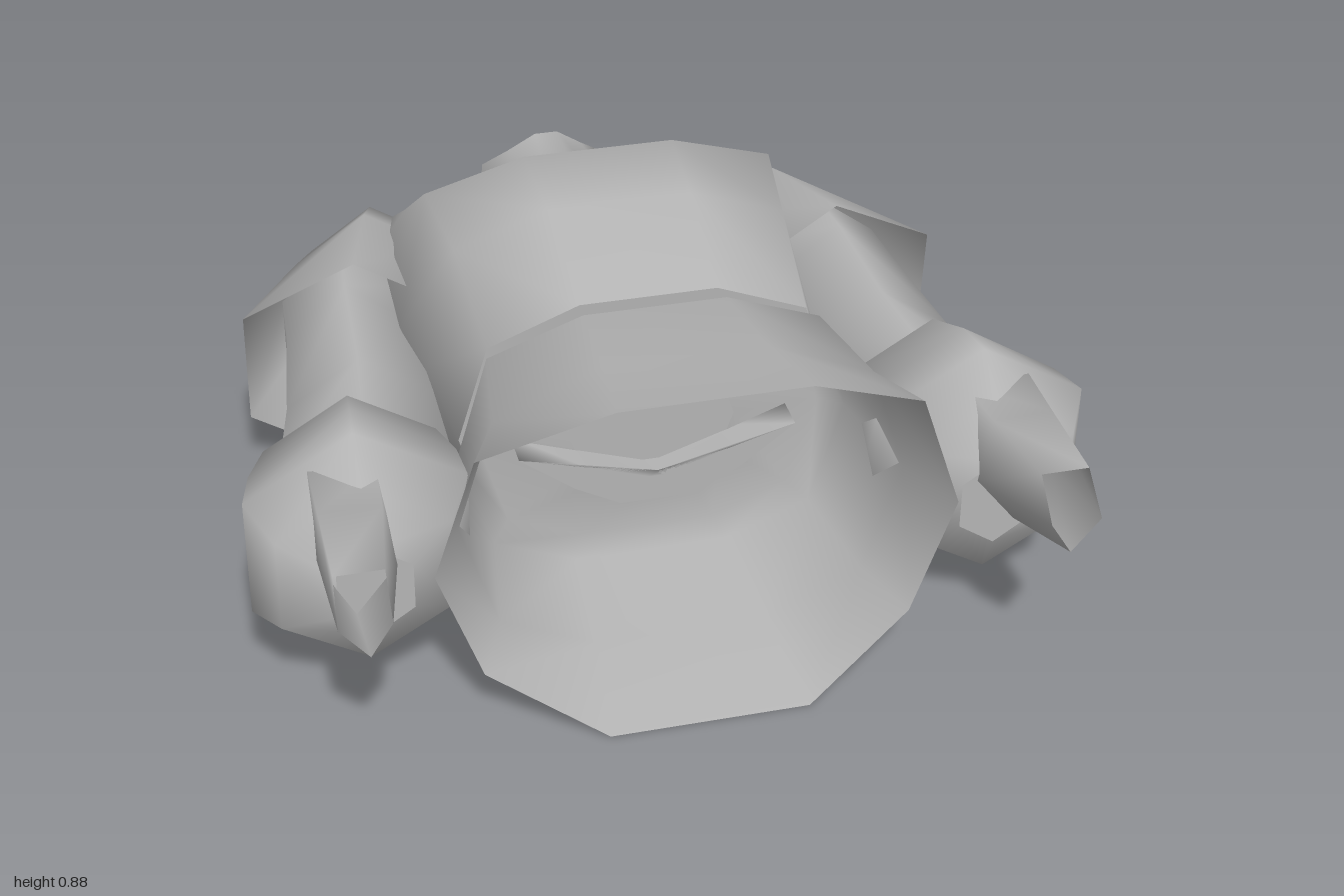
import * as THREE from 'three';

const grey = new THREE.MeshStandardMaterial({ color: 0xb4b4b4, side: THREE.DoubleSide });
grey.name = 'plain grey';

// Smooth skin through rings of [x, y, z] points, with optional flat ends
function loft(name, rings, capStart = false, capEnd = false) {
  const n = rings[0].length, pos = rings.flat(2), idx = [];
  for (let i = 0; i < rings.length - 1; i++) {
    for (let j = 0; j < n; j++) {
      const a = i * n + j, b = i * n + (j + 1) % n;
      idx.push(a, b, a + n, b, b + n, a + n);
    }
  }
  const cap = (ring, flip) => {
    const base = pos.length / 3;
    pos.push(...ring.flat());
    pos.push(...[0, 1, 2].map(k => ring.reduce((s, p) => s + p[k], 0) / n));
    for (let j = 0; j < n; j++) {
      const a = base + j, b = base + (j + 1) % n;
      idx.push(base + n, flip ? b : a, flip ? a : b);
    }
  };
  if (capStart) cap(rings[0], true);
  if (capEnd) cap(rings[rings.length - 1], false);
  const g = new THREE.BufferGeometry();
  g.setAttribute('position', new THREE.Float32BufferAttribute(pos, 3));
  g.setIndex(idx);
  g.computeVertexNormals();
  const mesh = new THREE.Mesh(g, grey);
  mesh.name = name;
  return mesh;
}

// Ten-point symmetric ring from its +x half: side, upper, top, bottom, lower
function mirrorRing(side, upper, top, bottom, lower) {
  const m = ([x, y, z]) => [-x, y, z];
  return [side, upper, top, m(top), m(upper), m(side), m(lower), m(bottom), bottom, lower];
}

// Body section; box sets how square the corners are, dent pulls the sides back in z
function bodyRing(w, top, bottom, zTop, zBottom, box, dent = 0) {
  const point = ([x, y]) => [
    x * w,
    (top + bottom) / 2 + y * (top - bottom) / 2,
    zBottom + (zTop - zBottom) * (y + 1) / 2 - (Math.abs(y) < 1 ? dent : 0)];
  return mirrorRing(...[[1, 0], [0.84, box], [0.36, 1], [0.39, -1], [0.83, -box]].map(point));
}

// Six-sided arm section with a point at top and bottom
function hexRing(x0, x1, bottom, top, z, tiltX = 0, tiltY = 0) {
  return Array.from({ length: 6 }, (_, i) => {
    const a = Math.PI / 6 + i * Math.PI / 3;
    const c = Math.cos(a) / Math.cos(Math.PI / 6), s = Math.sin(a);
    return [(x0 + x1) / 2 + c * (x1 - x0) / 2,
      (top + bottom) / 2 + s * (top - bottom) / 2,
      z + tiltX * c + tiltY * s];
  });
}

function createArm() {
  const arm = new THREE.Group();
  arm.add(
    loft('shoulderGuard', [
      hexRing(0.44, 0.6, 0.26, 0.46, -0.645),
      hexRing(0.35, 0.67, 0.15, 0.57, -0.62, 0.01),
      hexRing(0.35, 0.72, 0.11, 0.59, -0.55, 0.01),
      hexRing(0.34, 0.88, 0.03, 0.645, -0.25, -0.045, 0.03)], true),
    loft('upperArm', [
      hexRing(0.46, 0.77, 0.11, 0.57, -0.4),
      hexRing(0.48, 0.78, 0.1, 0.57, -0.25),
      hexRing(0.47, 0.82, 0.08, 0.55, 0.05),
      hexRing(0.47, 0.87, 0.07, 0.54, 0.28)], true, true),
    loft('forearmCuff', [
      hexRing(0.56, 0.86, 0.16, 0.52, 0.21),
      hexRing(0.5, 0.9, 0.1, 0.59, 0.26),
      hexRing(0.48, 0.95, 0.075, 0.66, 0.42),
      hexRing(0.475, 0.975, 0.08, 0.67, 0.53),
      hexRing(0.53, 0.92, 0.13, 0.59, 0.63),
      hexRing(0.63, 0.8, 0.25, 0.48, 0.7)], true, true),
    // Tapered, hollow-ended hand
    loft('hand', [
      [[0.84, 0.45, 0.55], [0.83, 0.6, 0.55], [0.68, 0.59, 0.55], [0.65, 0.43, 0.55], [0.76, 0.25, 0.55]],
      [[0.835, 0.45, 0.7], [0.83, 0.595, 0.7], [0.69, 0.59, 0.7], [0.665, 0.43, 0.7], [0.76, 0.31, 0.7]],
      [[0.835, 0.51, 1], [0.83, 0.59, 0.92], [0.72, 0.59, 0.92], [0.72, 0.51, 1], [0.77, 0.43, 1]]], true));
  return arm;
}

export function createModel() {
  const model = new THREE.Group();
  model.name = 'armouredTorso';

  // Torso running smoothly into the open, slanted neck
  model.add(loft('torsoAndNeck', [
    mirrorRing([0.165, 0.5, -0.9], [0.1, 0.55, -0.87], [0.03, 0.605, -0.845],
      [0.07, 0.3, -1], [0.135, 0.42, -0.94]),
    mirrorRing([0.2, 0.4, -0.755], [0.13, 0.5, -0.7], [0.04, 0.585, -0.6],
      [0.1, 0.15, -0.75], [0.17, 0.27, -0.755]),
    bodyRing(0.54, 0.61, 0.09, -0.57, -0.68, 0.7, 0.035),
    bodyRing(0.53, 0.74, 0.04, -0.44, -0.49, 0.74),
    bodyRing(0.51, 0.88, 0.05, -0.23, -0.15, 0.84),
    bodyRing(0.475, 0.86, 0.085, 0, 0, 0.8),
    bodyRing(0.45, 0.765, 0.1, 0.28, 0.26, 0.74)], false, true));

  // Flared skirt: an open bowl with a rounded back
  model.add(loft('skirt', [
    bodyRing(0.2, 0.57, 0.3, 0.31, 0.31, 0.7),
    bodyRing(0.41, 0.74, 0.12, 0.29, 0.28, 0.76),
    bodyRing(0.465, 0.775, 0.085, 0.34, 0.33, 0.76),
    bodyRing(0.515, 0.81, 0.06, 0.61, 0.62, 0.72),
    bodyRing(0.595, 0.86, 0, 0.86, 0.875, 0.66, 0.1)], true));

  // Narrow wedge at the base of the torso, inside the skirt
  const wedge = z => mirrorRing([0.33, 0.43, z], [0.17, 0.385, z], [0.02, 0.335, z],
    [0.09, 0.27, z], [0.2, 0.33, z]);
  model.add(loft('waistWedge', [wedge(0.28), wedge(0.38)], false, true));

  // Matching arms
  for (const side of [1, -1]) {
    const arm = createArm();
    arm.name = side > 0 ? 'leftArm' : 'rightArm';
    arm.scale.x = side;
    model.add(arm);
  }
  return model;
}
